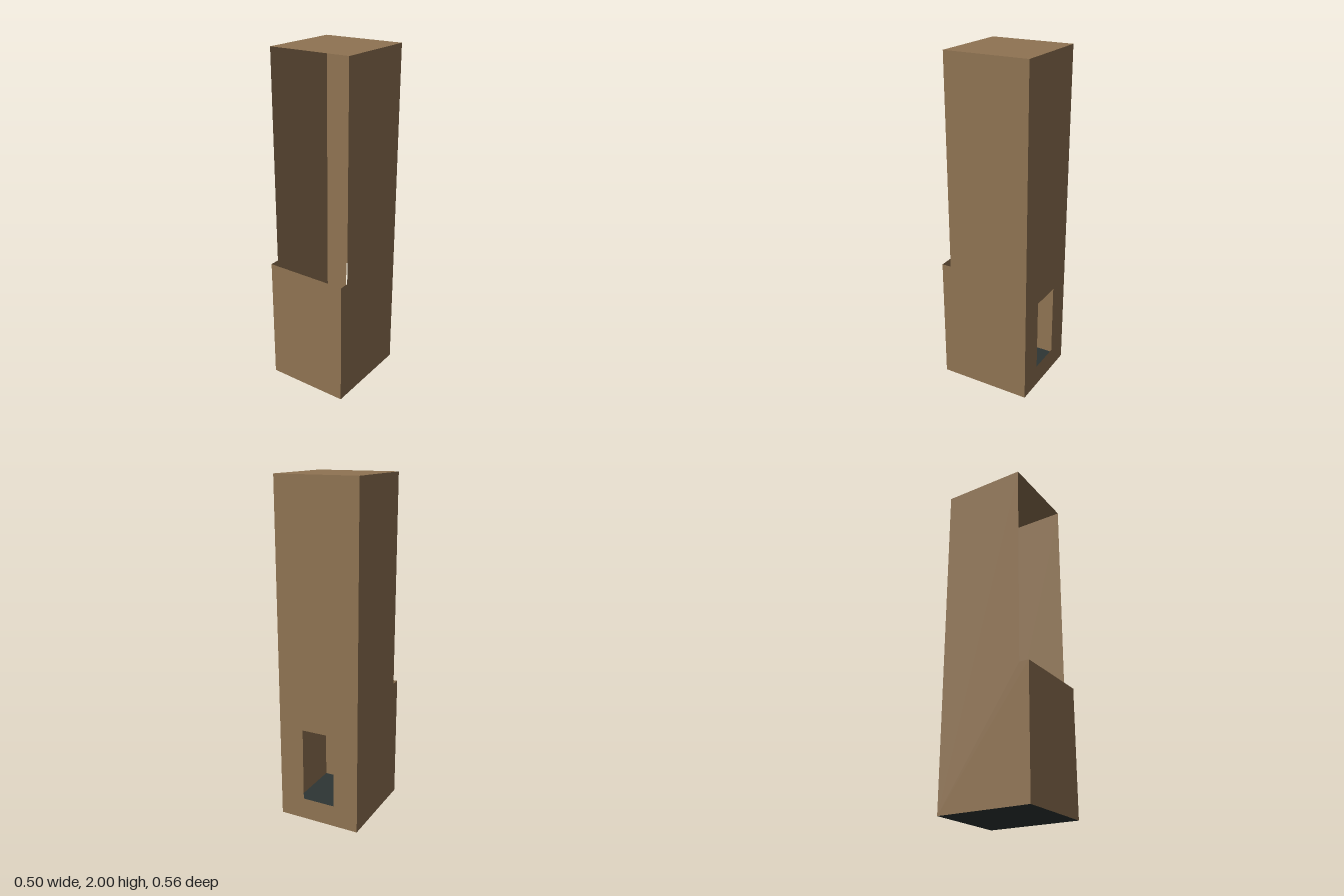
import * as THREE from 'three';

const HALF_W = 0.25;    // half the width
const BACK = -0.28;     // back wall z
const FRONT = 0.28;     // lower front panel z
const RECESS = 0.222;   // front edge of the tall upper section
const HEIGHT = 2;
const PANEL_H = 0.75;   // height of the front panel

export function createModel() {
  const model = new THREE.Group();
  model.name = 'chute';

  const wood = new THREE.MeshStandardMaterial({ color: 0x8f7352, side: THREE.DoubleSide });
  wood.name = 'brown wood';
  const slate = new THREE.MeshStandardMaterial({ color: 0x2d3534, side: THREE.DoubleSide });
  slate.name = 'dark slate';

  const add = (name, geometry, material) => {
    const mesh = new THREE.Mesh(geometry, material);
    mesh.name = name;
    model.add(mesh);
    return mesh;
  };
  const polygon = (points) => new THREE.Shape(points.map(([x, y]) => new THREE.Vector2(x, y)));

  // Sheet side walls, stepped forward below the open front
  const profile = polygon([
    [BACK, 0], [FRONT, 0], [FRONT, PANEL_H], [RECESS, PANEL_H], [RECESS, HEIGHT], [BACK, HEIGHT],
  ]);
  for (const [name, side] of [['leftWall', 1], ['rightWall', -1]]) {
    const wall = new THREE.ShapeGeometry(profile).rotateY(-Math.PI / 2);
    // Mirror the facing so that both walls face outward
    if (side > 0) wall.scale(1, 1, -1).rotateY(Math.PI);
    add(name, wall.translate(side * HALF_W, 0, 0), wood);
  }

  // Back wall with a rectangular opening near the foot
  const back = polygon([[-HALF_W, 0], [HALF_W, 0], [HALF_W, HEIGHT], [-HALF_W, HEIGHT]]);
  back.holes.push(polygon([[-0.1, 0.13], [-0.1, 0.57], [0.1, 0.57], [0.1, 0.13]]));
  add('backWall', new THREE.ShapeGeometry(back).rotateY(Math.PI).translate(0, 0, BACK), wood);

  // Low front panel, leaving the upper front open
  add('frontPanel', new THREE.PlaneGeometry(2 * HALF_W, PANEL_H)
    .translate(0, PANEL_H / 2, FRONT), wood);

  // Roof over the tall section
  add('roof', new THREE.PlaneGeometry(2 * HALF_W, RECESS - BACK).rotateX(-Math.PI / 2)
    .translate(0, HEIGHT, (RECESS + BACK) / 2), wood);

  // Dark floor
  add('floor', new THREE.PlaneGeometry(2 * HALF_W, FRONT - BACK).rotateX(-Math.PI / 2), slate);

  return model;
}
